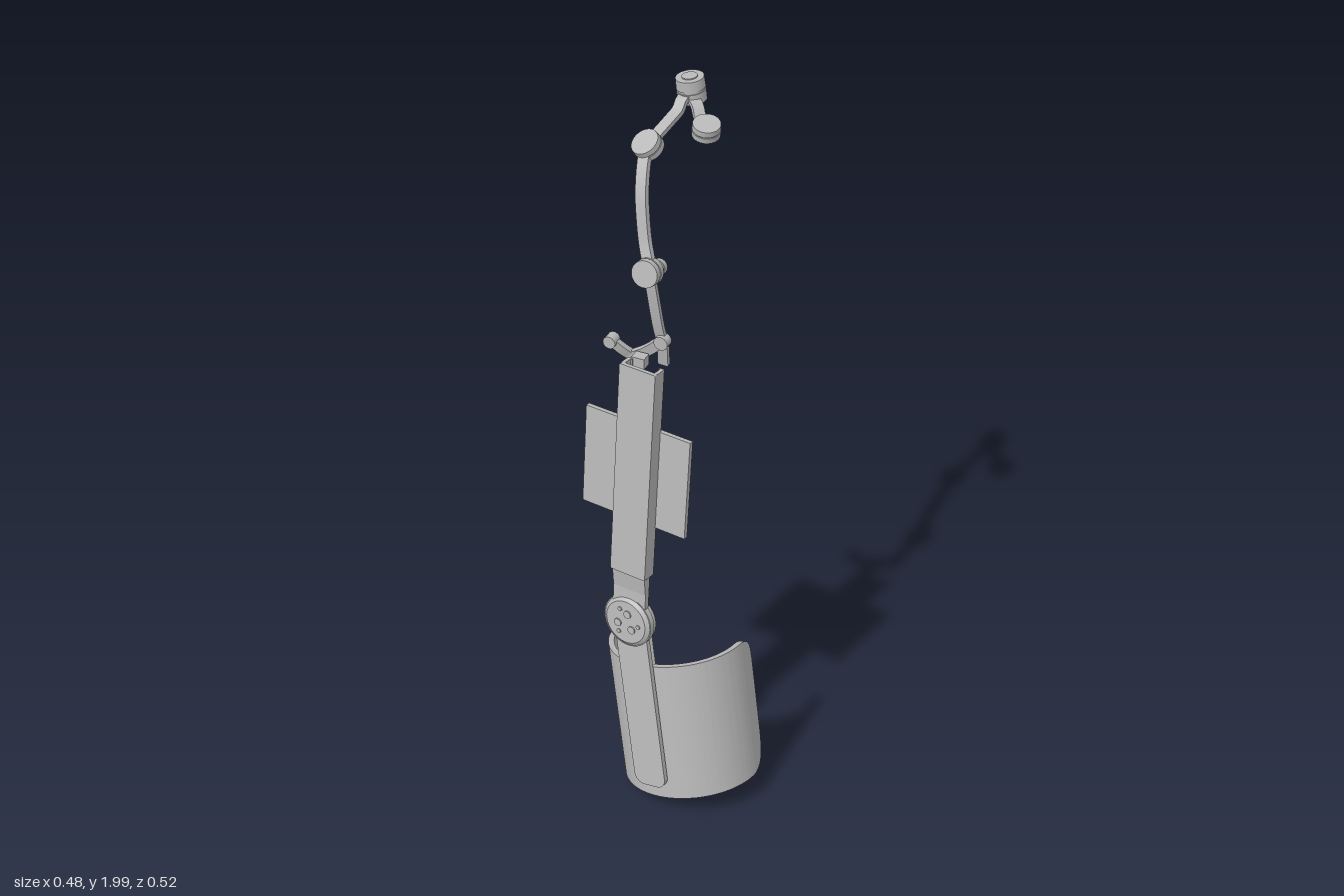
import * as THREE from 'three';
import { toCreasedNormals } from 'three/addons/utils/BufferGeometryUtils.js';

const V = (x, y, z) => new THREE.Vector3(x, y, z);
const grey = new THREE.MeshStandardMaterial({ color: 0xb8b8b8 });
grey.name = 'grey';

function add(parent, name, geometry, x = 0, y = 0, z = 0) {
  const m = new THREE.Mesh(geometry, grey);
  m.name = name;
  m.position.set(x, y, z);
  parent.add(m);
  return m;
}

// Group whose y axis follows up and whose z axis faces front
function frame(parent, name, origin, up, front) {
  const g = new THREE.Group();
  g.name = name;
  const u = up.clone().normalize();
  const x = u.clone().cross(front).normalize();
  const z = x.clone().cross(u);
  g.quaternion.setFromRotationMatrix(new THREE.Matrix4().makeBasis(x, u, z));
  g.position.copy(origin);
  parent.add(g);
  return g;
}

// Solid through four-cornered cross-sections
function sweep(sections) {
  const pos = [];
  const quad = (a, b, c, d) => [a, b, c, a, c, d].forEach(p => pos.push(p.x, p.y, p.z));
  for (let i = 0; i + 1 < sections.length; i++) {
    const a = sections[i], b = sections[i + 1];
    for (let j = 0; j < 4; j++) quad(a[j], a[(j + 1) % 4], b[(j + 1) % 4], b[j]);
  }
  const s = sections[0], e = sections[sections.length - 1];
  quad(s[3], s[2], s[1], s[0]);
  quad(e[0], e[1], e[2], e[3]);
  const g = new THREE.BufferGeometry();
  g.setAttribute('position', new THREE.Float32BufferAttribute(pos, 3));
  return toCreasedNormals(g, 0.6);
}

// Flat strap along a smooth path, its width lying along side
function strap(points, side, width, thick, steps = 24) {
  const curve = new THREE.CatmullRomCurve3(points);
  const rows = [];
  for (let i = 0; i <= steps; i++) {
    const p = curve.getPointAt(i / steps), t = curve.getTangentAt(i / steps);
    const s = side.clone().addScaledVector(t, -side.dot(t)).normalize();
    const n = t.clone().cross(s);
    rows.push([[1, -1], [1, 1], [-1, 1], [-1, -1]].map(([a, b]) =>
      p.clone().addScaledVector(s, a * width / 2).addScaledVector(n, b * thick / 2)));
  }
  return sweep(rows);
}

// Upright bar with rounded corners, its back at z = 0
function bar(w, y0, y1, r, depth) {
  const h = w / 2, s = new THREE.Shape();
  s.moveTo(-h + r, y0).lineTo(h - r, y0);
  s.absarc(h - r, y0 + r, r, -Math.PI / 2, 0);
  s.absarc(h - r, y1 - r, r, 0, Math.PI / 2);
  s.absarc(-h + r, y1 - r, r, Math.PI / 2, Math.PI);
  s.absarc(-h + r, y0 + r, r, Math.PI, Math.PI * 1.5);
  return new THREE.ExtrudeGeometry(s, { depth, bevelEnabled: false, curveSegments: 8 });
}

// Round part with its axis along z
const disc = (r, h, r2 = r, n = 32) =>
  new THREE.CylinderGeometry(r2, r, h, n).rotateX(Math.PI / 2);

// Joint hub: stacked rounds along the given axis
function hub(parent, name, center, axis, r, h) {
  const g = new THREE.Group();
  g.name = name;
  g.position.copy(center);
  g.quaternion.setFromUnitVectors(V(0, 1, 0), axis.clone().normalize());
  add(g, 'hubBase', new THREE.CylinderGeometry(r, r, h * 0.45, 32), 0, -h * 0.275, 0);
  add(g, 'hubGroove', new THREE.CylinderGeometry(r * 0.93, r * 0.93, h * 0.12, 32));
  add(g, 'hubCap', new THREE.CylinderGeometry(r * 0.97, r, h * 0.45, 32), 0, h * 0.275, 0);
  parent.add(g);
  return g;
}

export function createModel() {
  const model = new THREE.Group();

  // Open cuff with rounded tips
  const lower = frame(model, 'lowerSection', V(0.015, 0.245, 0.035),
    V(-0.183, 0.974, -0.134), V(-0.025, 0.131, 0.988));
  const R = 0.192, T = 0.016, H = 0.202, C = 0.085;
  const a0 = -0.35, a1 = Math.PI + 0.61, rows = [];
  for (let i = 0; i <= 100; i++) {
    const a = a0 + (a1 - a0) * i / 100;
    const d = Math.min(C, R * Math.min(a - a0, a1 - a));
    const h = H - C + Math.sqrt(Math.max(0, C * C - (C - d) ** 2));
    rows.push([[R, -h], [R, h], [R - T, h], [R - T, -h]].map(([r, y]) =>
      V(r * Math.cos(a), y, r * Math.sin(a))));
  }
  add(lower, 'cuff', sweep(rows));

  // Lower bar, its rivets and the pivot
  const side = new THREE.Group();
  side.name = 'lowerBarAssembly';
  side.rotation.y = -0.14;
  lower.add(side);
  add(side, 'lowerBar', bar(0.1, -0.165, 0.36, 0.03, 0.014), 0, 0, R - 0.002);
  for (const x of [-0.026, 0.026]) for (const y of [-0.11, 0, 0.11]) {
    const z = Math.sqrt((R - T) ** 2 - x * x);
    add(side, 'cuffRivet', disc(0.014, 0.01, 0.014, 16), x, y + x * 0.5, z - 0.001);
    add(side, 'cuffRivetCore', disc(0.007, 0.008, 0.007, 12), x, y + x * 0.5, z - 0.005);
  }
  const pivot = new THREE.Group();
  pivot.name = 'pivot';
  pivot.position.set(0, 0.342, 0.2);
  side.add(pivot);
  add(pivot, 'pivotBack', disc(0.072, 0.012), 0, 0, -0.012);
  add(pivot, 'pivotDisc', disc(0.075, 0.016), 0, 0, 0.002);
  add(pivot, 'pivotCover', disc(0.072, 0.008, 0.062), 0, 0, 0.014);
  for (let i = 0; i < 3; i++) {
    const a = 1.2 + i * Math.PI * 2 / 3;
    for (const z of [0.019, -0.019])
      add(pivot, 'pivotScrew', disc(0.011, 0.005, 0.011, 16), 0.026 * Math.cos(a), 0.026 * Math.sin(a), z);
    add(pivot, 'pivotPin', disc(0.006, 0.004, 0.006, 12), 0.04 * Math.cos(a + 0.7), 0.04 * Math.sin(a + 0.7), 0.019);
  }

  // Link and upper channel
  const upper = frame(model, 'upperSection', V(-0.08, 0.6, 0.195),
    V(0.017, 0.996, -0.085), V(-0.13, 0.08, 0.99));
  add(upper, 'neckLink', bar(0.1, 0, 0.2, 0.006, 0.016), 0, 0, -0.016);
  add(upper, 'neckRamp', sweep([[0.1, 0.001], [0.165, 0.012]].map(([y, z]) =>
    [V(-0.05, y, z), V(0.05, y, z), V(0.05, y, -0.005), V(-0.05, y, -0.005)])));
  add(upper, 'channelFace', bar(0.107, 0.155, 0.765, 0.004, 0.012), 0, 0, 0.003);
  for (const s of [-1, 1]) {
    add(upper, 'channelWall', new THREE.BoxGeometry(0.01, 0.61, 0.03), s * 0.0485, 0.46, -0.009);
    add(upper, 'channelLip', new THREE.BoxGeometry(0.014, 0.61, 0.005), s * 0.0465, 0.46, -0.0245);
  }

  // Mounting plate with two columns of screws
  const plate = new THREE.Group();
  plate.name = 'mountingPlate';
  plate.position.set(-0.015, 0.443, -0.03);
  upper.add(plate);
  add(plate, 'plate', new THREE.BoxGeometry(0.315, 0.285, 0.013));
  for (const x of [-0.03, 0.03]) for (const y of [-0.1, 0, 0.1]) {
    add(plate, 'plateScrew', disc(0.014, 0.005, 0.014, 16), x + 0.01, y, -0.0075);
    add(plate, 'plateScrewCore', disc(0.007, 0.004, 0.007, 12), x + 0.01, y, -0.011);
  }

  // Small clasp over the channel
  const clasp = new THREE.Group();
  clasp.name = 'clasp';
  model.add(clasp);
  add(clasp, 'claspLink', strap([V(-0.04, 1.405, 0.052), V(-0.085, 1.365, 0.055), V(-0.135, 1.335, 0.06)],
    V(0.5, -0.8, -0.2), 0.028, 0.014));
  add(clasp, 'claspArm', strap([V(-0.12, 1.332, 0.05), V(-0.145, 1.358, 0.068), V(-0.172, 1.385, 0.08)],
    V(0.6, 0.7, 0), 0.026, 0.016));
  add(clasp, 'claspRoller', disc(0.017, 0.03, 0.017, 20), -0.172, 1.385, 0.08);
  add(clasp, 'claspPin', disc(0.019, 0.026, 0.019, 20), -0.042, 1.402, 0.055);
  add(clasp, 'claspStop', new THREE.BoxGeometry(0.035, 0.03, 0.03), -0.09, 1.35, 0.085);

  // Lower finger link and first hub
  add(model, 'fingerLinkLower', strap([V(-0.064, 1.6, 0.078), V(-0.058, 1.53, 0.07), V(-0.052, 1.45, 0.058),
    V(-0.047, 1.38, 0.042), V(-0.05, 1.32, 0.032)], V(1, 0, 0), 0.028, 0.012));
  hub(model, 'firstHub', V(-0.065, 1.615, 0.09), V(0, 0.22, 1), 0.036, 0.036);
  hub(model, 'firstHubBoss', V(-0.055, 1.612, 0.058), V(0, 0.22, 1), 0.021, 0.036);

  // Curved finger link and second hub
  add(model, 'fingerLinkCurved', strap([V(-0.068, 1.635, 0.075), V(-0.085, 1.675, 0.058), V(-0.097, 1.73, 0.045),
    V(-0.108, 1.79, 0.028), V(-0.118, 1.84, 0), V(-0.128, 1.878, -0.035)], V(1, 0.15, 0.2), 0.032, 0.014));
  hub(model, 'secondHub', V(-0.128, 1.885, -0.045), V(-0.25, 0.8, 0.5), 0.038, 0.032);

  // Stepped link to the third hub
  add(model, 'fingerLinkUpper', strap([V(-0.125, 1.89, -0.065), V(-0.117, 1.903, -0.095), V(-0.108, 1.918, -0.135),
    V(-0.102, 1.93, -0.165), V(-0.1, 1.948, -0.18), V(-0.098, 1.955, -0.21)], V(1, 0, 0.2), 0.03, 0.013));
  const third = hub(model, 'thirdHub', V(-0.095, 1.965, -0.223), V(-0.1, 1, 0.05), 0.037, 0.062);
  add(third, 'hubButton', new THREE.CylinderGeometry(0.02, 0.02, 0.006, 24), 0, 0.031, 0);

  // Side link to the fourth hub
  add(model, 'fingerLinkEnd', strap([V(-0.08, 1.945, -0.205), V(-0.058, 1.942, -0.18), V(-0.045, 1.926, -0.165),
    V(-0.02, 1.915, -0.14)], V(0.6, 0, -0.8), 0.03, 0.012));
  hub(model, 'fourthHub', V(-0.009, 1.917, -0.128), V(0.15, 1, 0.2), 0.036, 0.034);

  return model;
}
